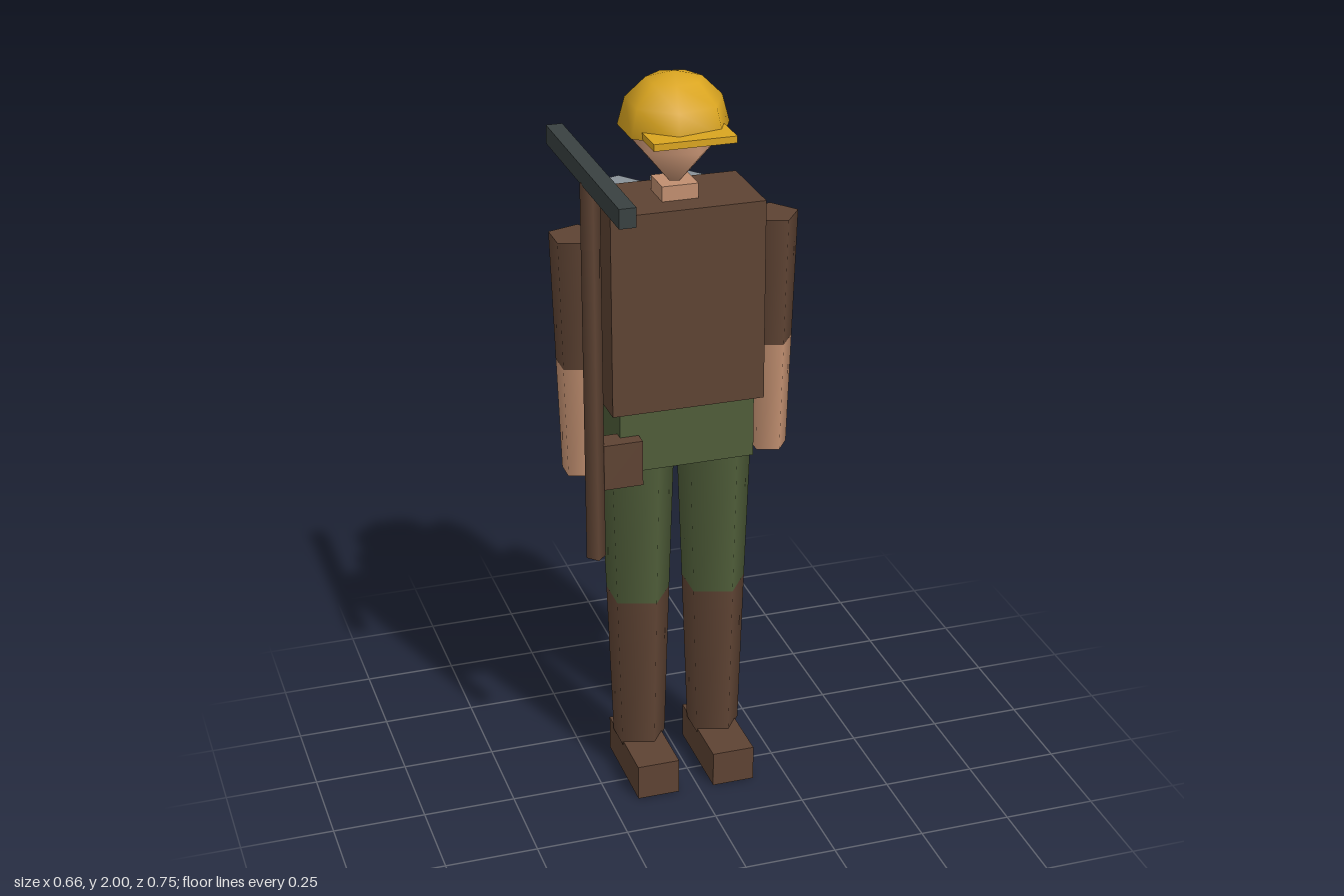
import * as THREE from 'three';

const CX = -0.008; // body axis
const CZ = -0.08;

export function createModel() {
  const model = new THREE.Group();
  model.name = 'miner';

  const paint = (name, color) => {
    const m = new THREE.MeshStandardMaterial({ color });
    m.name = name;
    return m;
  };
  const brown = paint('brown', 0x5e4333);
  const green = paint('green', 0x4f5d39);
  const skin = paint('skin', 0xc18f70);
  const steel = paint('steel grey', 0x8a9299);
  const yellow = paint('helmet yellow', 0xdaa520);
  const iron = paint('dark iron', 0x394141);

  const add = (name, geometry, material, x, y, z) => {
    const mesh = new THREE.Mesh(geometry, material);
    mesh.name = name;
    mesh.position.set(x, y, z);
    model.add(mesh);
    return mesh;
  };
  const box = (name, mat, w, h, d, x, y, z) =>
    add(name, new THREE.BoxGeometry(w, h, d), mat, x, y, z);
  // Upright tapered prism between two heights, one corner pointing to +x
  const prism = (name, mat, rTop, rBottom, y0, y1, x, z, sides = 5) =>
    add(name, new THREE.CylinderGeometry(rTop, rBottom, y1 - y0, sides, 1, false, Math.PI / 2),
      mat, x, (y0 + y1) / 2, z);

  // Body
  box('torso', brown, 0.411, 0.545, 0.238, CX, 1.4025, CZ);
  box('hips', green, 0.366, 0.17, 0.21, CX, 1.045, CZ);
  box('neck', skin, 0.096, 0.07, 0.096, CX, 1.68, CZ);
  add('head', new THREE.SphereGeometry(0.117, 5, 2, Math.PI), skin, CX, 1.812, CZ);

  // Limbs
  for (const [side, s] of [['left', 1], ['right', -1]]) {
    const armX = CX + s * 0.261;
    const legX = CX + s * 0.108;
    prism(side + 'Sleeve', brown, 0.075, 0.063, 1.245, 1.595, armX, CZ);
    prism(side + 'Forearm', skin, 0.063, 0.052, 0.936, 1.245, armX, CZ);
    prism(side + 'Thigh', green, 0.105, 0.09, 0.545, 0.965, legX, CZ);
    prism(side + 'BootShaft', brown, 0.09, 0.075, 0.09, 0.545, legX, CZ);
    box(side + 'Shoe', brown, 0.117, 0.1, 0.275, legX, 0.05, -0.033);
    // Paired tanks behind the back
    prism(side + 'Tank', steel, 0.087, 0.087, 1.14, 1.63, CX + s * 0.087, -0.297);
  }

  // Helmet: dome, closed underside and brim
  add('helmetDome', new THREE.SphereGeometry(0.146, 7, 3, Math.PI, Math.PI * 2, 0, Math.PI / 2),
    yellow, CX, 1.854, CZ);
  const underside = add('helmetUnderside', new THREE.CircleGeometry(0.146, 7), yellow, CX, 1.854, CZ);
  underside.rotation.x = Math.PI / 2;
  box('helmetBrim', yellow, 0.216, 0.018, 0.17, CX, 1.864, 0.008);

  // Belt gear
  box('beltPouch', brown, 0.105, 0.126, 0.064, -0.193, 1.0, 0.03);
  prism('canteen', green, 0.065, 0.065, 0.94, 1.087, 0.196, -0.14);

  // Pickaxe
  prism('pickaxeHandle', brown, 0.026, 0.026, 0.742, 1.78, -0.268, 0.052, 4);
  box('pickaxeHead', iron, 0.043, 0.05, 0.65, -0.268, 1.8, 0.05);

  return model;
}
